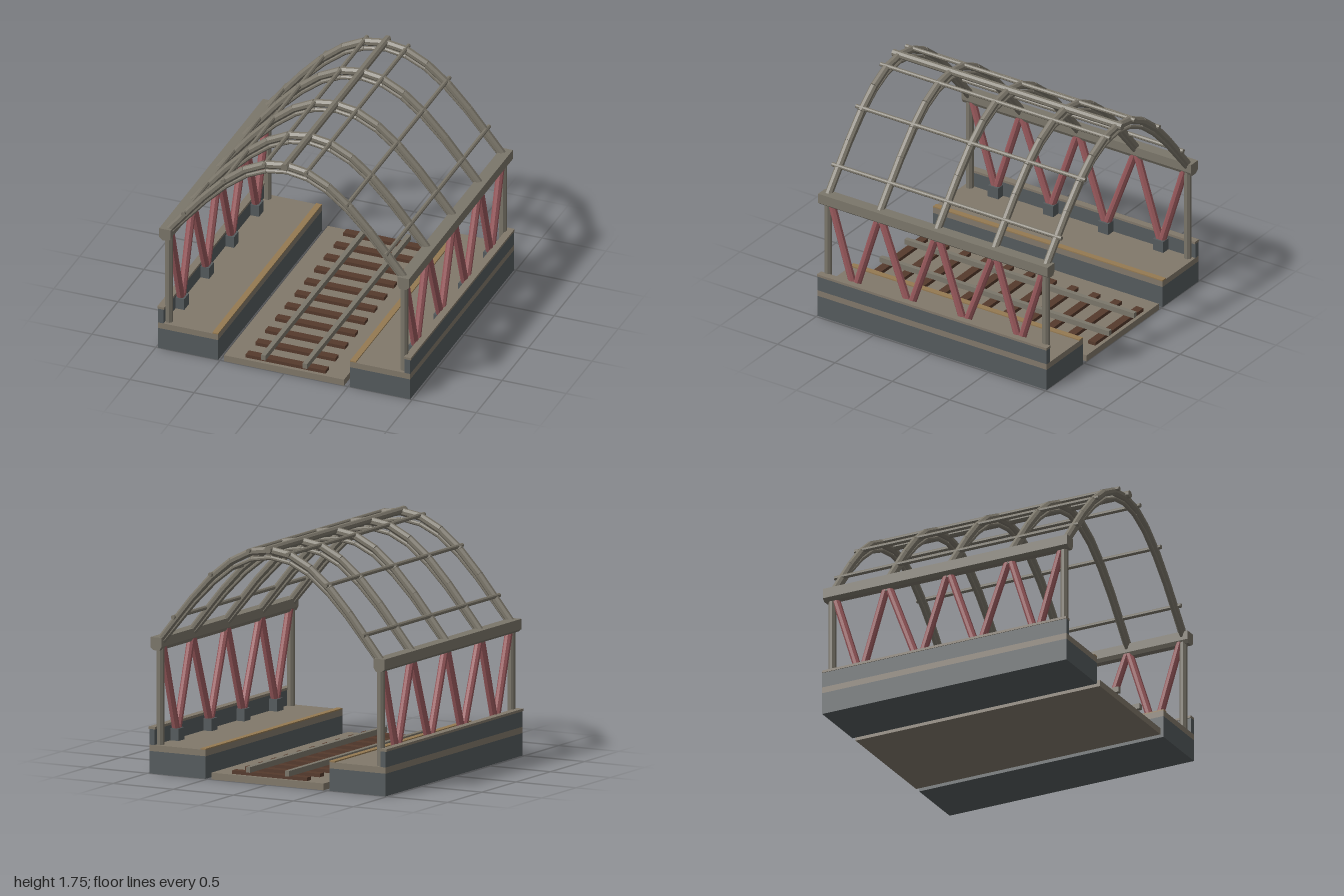
import * as THREE from 'three';

const mat = (name, color) => {
  const m = new THREE.MeshStandardMaterial({ color, flatShading: true });
  m.name = name;
  return m;
};

export function createModel() {
  const root = new THREE.Group();
  root.name = 'trainShed';
  const stone = mat('taupe stone', 0x81786a);
  const steel = mat('grey steel', 0x7b766a);
  const slate = mat('slate concrete', 0x555b5d);
  const red = mat('red brace paint', 0x9a5a5d);
  const ochre = mat('ochre edge line', 0x957a52);
  const brown = mat('brown timber', 0x553a2c);

  const add = (name, geo, m, parent = root) => {
    const mesh = new THREE.Mesh(geo, m);
    mesh.name = name;
    parent.add(mesh);
    return mesh;
  };
  // box given by its limits
  const box = (name, m, x0, x1, y0, y1, z0 = -1, z1 = 1) => {
    const b = add(name, new THREE.BoxGeometry(Math.abs(x1 - x0), y1 - y0, z1 - z0), m);
    b.position.set((x0 + x1) / 2, (y0 + y1) / 2, (z0 + z1) / 2);
    return b;
  };
  // faceted bar between two points, flats facing the axes
  const bar = (name, m, a, b, r, sides = 8) => {
    const p = new THREE.Vector3(...a), q = new THREE.Vector3(...b);
    const d = q.clone().sub(p);
    const geo = new THREE.CylinderGeometry(r, r, d.length(), sides).rotateY(Math.PI / sides);
    const c = add(name, geo, m);
    c.position.copy(p).add(q).multiplyScalar(0.5);
    c.quaternion.setFromUnitVectors(new THREE.Vector3(0, 1, 0), d.normalize());
    return c;
  };

  // track bed, sleepers and rails
  box('trackBed', stone, -0.468, 0.468, 0, 0.05);
  for (let i = -5; i <= 5; i++) {
    box('sleeper', brown, -0.312, 0.312, 0.05, 0.076, i * 0.188 - 0.031, i * 0.188 + 0.031);
  }
  for (const s of [-1, 1]) box('rail', steel, s * 0.145, s * 0.18, 0.076, 0.117);

  // arch centre lines, from crown to eave
  const outer = [[0, 1.715], [0.165, 1.69], [0.325, 1.61], [0.49, 1.477], [0.65, 1.307], [0.8, 1.125], [0.93, 0.965]];
  const inner = [[0, 1.66], [0.16, 1.635], [0.31, 1.565], [0.47, 1.44], [0.63, 1.28], [0.78, 1.105], [0.9, 0.965]];
  const frames = [-0.95, -0.5, 0, 0.5, 0.95];
  const feet = [-0.72, -0.24, 0.24, 0.72];

  for (const s of [-1, 1]) {
    // platform with paving, edge line and parapet
    box('platformBase', slate, s * 0.515, s * 0.985, 0, 0.166);
    box('platformPaving', stone, s * 0.515, s * 0.985, 0.166, 0.212);
    box('platformEdgeLine', ochre, s * 0.515, s * 0.56, 0.212, 0.221);
    box('parapet', slate, s * 0.942, s * 0.985, 0.212, 0.327);
    box('parapetCap', stone, s * 0.936, s * 0.99, 0.327, 0.345);

    // eave beam with chamfered underside
    const eave = new THREE.Shape(
      [[0.885, 1.003], [0.885, 0.935], [0.9, 0.908], [0.95, 0.908], [0.975, 0.928], [0.975, 1.003]]
        .map(([x, y]) => new THREE.Vector2(s * x, y)));
    const eaveGeo = new THREE.ExtrudeGeometry(eave, { depth: 2, bevelEnabled: false });
    add('eaveBeam', eaveGeo.translate(0, 0, -1), steel);

    // end posts
    for (const z of [-0.95, 0.95]) bar('endPost', steel, [s * 0.918, 0.21, z], [s * 0.918, 0.93, z], 0.029);

    // V braces on footings
    for (const z of feet) {
      box('braceFooting', slate, s * 0.875, s * 0.942, 0.212, 0.302, z - 0.045, z + 0.045);
      const near = frames.slice().sort((a, b) => Math.abs(a - z) - Math.abs(b - z)).slice(0, 2);
      for (const f of near) {
        const top = Math.abs(f) > 0.9 ? Math.sign(f) * 0.935 : f;
        const dir = Math.sign(f - z);
        bar('brace', red, [s * 0.915, 0.26, z], [s * 0.915, 0.93, top - dir * 0.01], 0.029);
      }
    }
    for (const z of [-0.5, 0, 0.5]) {
      box('braceNode', steel, s * 0.895, s * 0.94, 0.895, 0.92, z - 0.02, z + 0.02);
    }

    // half arches, each with a thinner lower chord
    for (const z of frames) {
      for (let i = 0; i < 6; i++) {
        const [a, b] = [outer[i], outer[i + 1]];
        bar('archRib', steel, [s * a[0], a[1], z], [s * b[0], b[1], z], 0.03);
        const [c, d] = [inner[i], inner[i + 1]];
        bar('archLowerChord', steel, [s * c[0], c[1], z], [s * d[0], d[1], z], 0.016);
      }
    }

    // side purlins
    for (const [x, y] of [[0.163, 1.703], [0.48, 1.502], [0.79, 1.162]]) {
      bar('purlin', steel, [s * x, y, -1], [s * x, y, 1], 0.016);
    }
  }
  // ridge purlin
  bar('ridgePurlin', steel, [0, 1.724, -1], [0, 1.724, 1], 0.028);
  return root;
}
